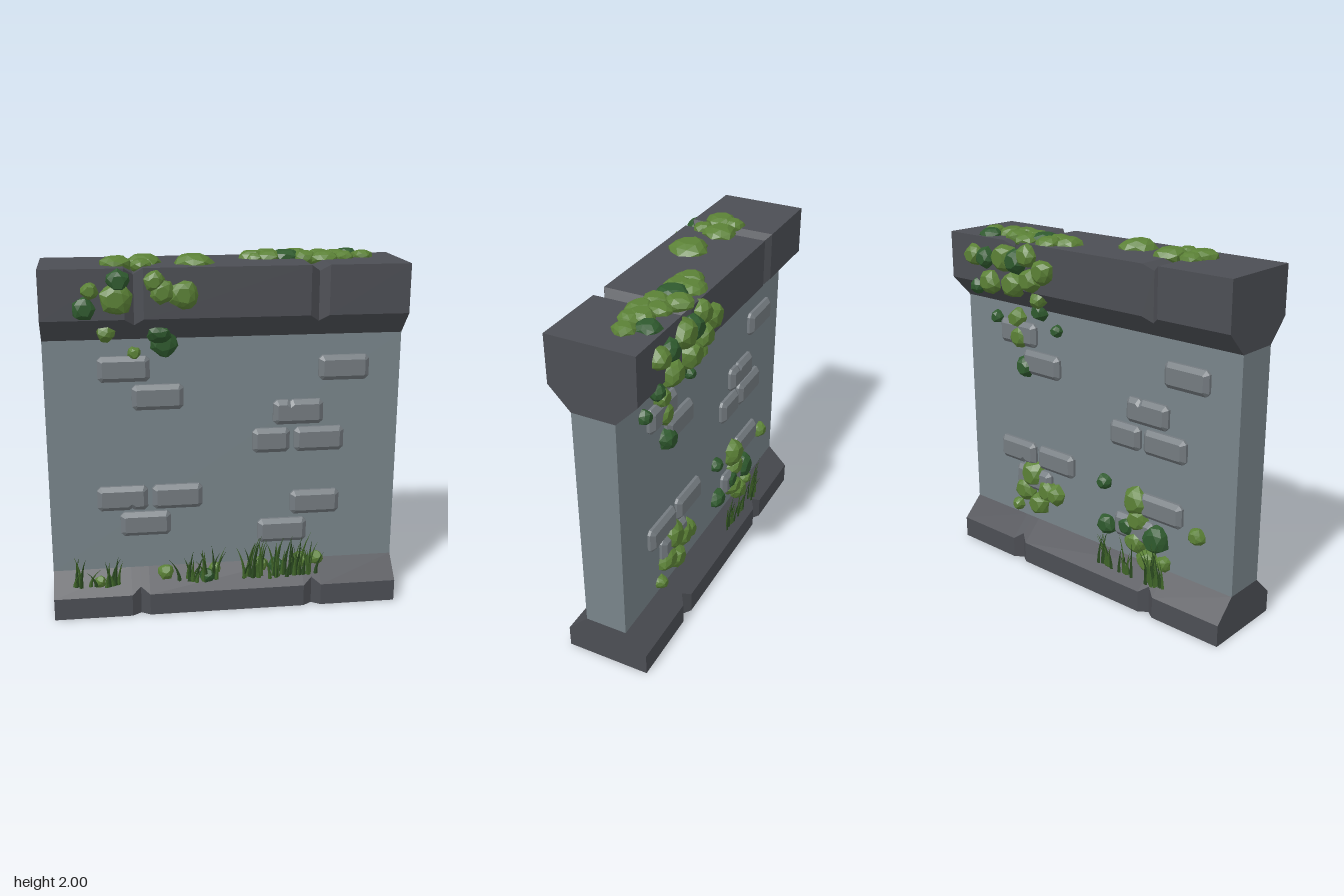
import * as THREE from 'three';
import { mergeGeometries } from 'three/addons/utils/BufferGeometryUtils.js';

const mat = (name, color, side = THREE.FrontSide) =>
  Object.assign(new THREE.MeshStandardMaterial({ color, side }), { name });

let seed = 7;
const rand = (a = 0, b = 1) => {
  seed = (seed * 16807) % 2147483647;
  return a + (b - a) * seed / 2147483647;
};

const flat = (geo) => {
  const g = geo.index ? geo.toNonIndexed() : geo;
  g.computeVertexNormals();
  return g;
};

const W = 0.975, GROOVE = 0.035;

// Sweep a [z, y] profile along x, using the inset profile at the two V grooves
function groovedBeam(full, inset, skip = -1) {
  const stations = [[-W, full]];
  for (const c of [-0.49, 0.49]) stations.push([c - 0.05, full], [c, inset], [c + 0.05, full]);
  stations.push([W, full]);
  const v = [];
  const put = (x, p) => v.push(x, p[1], p[0]);
  for (let s = 0; s < stations.length - 1; s++) {
    const [x0, p] = stations[s], [x1, q] = stations[s + 1];
    for (let i = 0; i < full.length - 1; i++) {
      if (i === skip) continue;
      put(x0, p[i]); put(x1, q[i]); put(x1, q[i + 1]);
      put(x0, p[i]); put(x1, q[i + 1]); put(x0, p[i + 1]);
    }
  }
  for (let i = 1; i < full.length - 1; i++) {
    put(-W, full[0]); put(-W, full[i]); put(-W, full[i + 1]);
    put(W, full[0]); put(W, full[i + 1]); put(W, full[i]);
  }
  const g = new THREE.BufferGeometry();
  g.setAttribute('position', new THREE.Float32BufferAttribute(v, 3));
  return flat(g);
}
const mirrored = (half) => [...half, ...half.map(([z, y]) => [-z, y]).reverse()];

// Brick with cut corners and a bevelled face; notch: 1 chips the top edge, -1 the bottom
function brickGeometry(w, notch) {
  const a = w / 2, b = 0.07, c = 0.02, n = 0.014;
  const pts = [[-a, -b + c], [-a + c, -b]];
  if (notch < 0) pts.push([0.05 - n, -b], [0.05, -b + 0.01], [0.05 + n, -b]);
  pts.push([a - c, -b], [a, -b + c], [a, b - c], [a - c, b]);
  if (notch > 0) pts.push([-0.045 + n, b], [-0.045, b - 0.01], [-0.045 - n, b]);
  pts.push([-a + c, b], [-a, b - c]);
  return new THREE.ExtrudeGeometry(new THREE.Shape(pts.map((p) => new THREE.Vector2(...p))), {
    depth: 0.016, bevelEnabled: true, bevelSize: 0.025, bevelThickness: 0.022,
    bevelOffset: -0.025, bevelSegments: 1,
  });
}

// Lumpy flattened clump, thin along z
function mossGeometry(r, t) {
  const g = new THREE.IcosahedronGeometry(1, 1), p = g.attributes.position, k = rand(0, 9);
  for (let i = 0; i < p.count; i++) {
    const x = p.getX(i), y = p.getY(i), z = p.getZ(i);
    const j = 1 + 0.13 * Math.sin(x * 4.1 + k) * Math.cos(y * 3.7 - k) + 0.05 * Math.sin(z * 5 + k);
    p.setXYZ(i, x * j * r, y * j * r, THREE.MathUtils.clamp(z * 1.25, -1, 1) * t);
  }
  return flat(g.rotateZ(rand(0, 6.28)));
}

// Tapered blade bending along +z
function bladeGeometry(h) {
  const g = new THREE.ConeGeometry(0.012, h, 4, 4, true).translate(0, h / 2, 0);
  const p = g.attributes.position, bend = rand(0.01, 0.05), lean = rand(-0.06, 0.06);
  for (let i = 0; i < p.count; i++) {
    const t = p.getY(i) / h;
    p.setX(i, p.getX(i) + lean * t * t);
    p.setZ(i, p.getZ(i) * 0.5 + bend * t * t);
  }
  return flat(g);
}

// Depth and normal slope of the wall face at height y
function face(y) {
  if (y > 1.69) return [0.24, 0];
  if (y > 1.565) return [0.12 + (y - 1.565) * 0.96, -1];
  if (y > 0.245) return [0.12, 0];
  if (y > 0.125) return [0.12 + (0.245 - y), 1];
  return [0.24, 0];
}

export function createModel() {
  const model = new THREE.Group();
  model.name = 'mossyWall';
  const body = new THREE.Group();
  body.name = 'wallAssembly';
  body.position.z = 0.01;
  model.add(body);

  const wallMat = mat('wallGrey', 0x78848a, THREE.DoubleSide);
  const trimMat = mat('darkStone', 0x4c4e54, THREE.DoubleSide);
  const brickMat = mat('brickGrey', 0x747b80);
  const mossMat = [mat('mossGreen', 0x5b8136), mat('deepMossGreen', 0x2f5a2e)];
  const grassMat = [mat('grassGreen', 0x3f6428, THREE.DoubleSide), mat('darkGrassGreen', 0x2b4a20, THREE.DoubleSide)];

  const add = (name, geo, material, parent = body) => {
    const m = new THREE.Mesh(geo, material);
    m.name = name;
    parent.add(m);
    return m;
  };

  // Wall panel, cap and open-bottomed base
  add('wallPanel', new THREE.BoxGeometry(2 * W, 1.32, 0.24).translate(0, 0.905, 0),
    wallMat).geometry = (() => {
    const g = new THREE.BoxGeometry(2 * W, 1.32, 0.24).translate(0, 0.905, 0);
    const idx = Array.from(g.index.array);
    g.setIndex([...idx.slice(0, 12), ...idx.slice(24)]); // sides only
    return g;
  })();
  const d = 0.24 - GROOVE;
  add('cap', groovedBeam(
    mirrored([[0.12, 1.565], [0.24, 1.69], [0.24, 1.955]]),
    mirrored([[0.12, 1.565], [d, 1.69 - GROOVE], [d, 1.955 - GROOVE]])), trimMat);
  add('base', groovedBeam(
    mirrored([[0.24, 0], [0.24, 0.125], [0.12, 0.245]]),
    mirrored([[d, 0], [d, 0.125 + GROOVE], [0.12, 0.245]]), 2), trimMat);

  // Raised bricks: x, y, width, notch; the back repeats the front turned round
  const bricks = new THREE.Group();
  bricks.name = 'frontBricks';
  for (const [x, y, w = 0.28, notch = 0] of [
    [-0.55, 1.405], [-0.37, 1.245], [0.655, 1.38], [0.405, 1.135, 0.28, 1], [0.255, 0.975, 0.21],
    [0.525, 0.975], [-0.575, 0.67, 0.28, -1], [-0.27, 0.67], [-0.45, 0.515], [0.51, 0.6], [0.325, 0.435],
  ]) add('brick', brickGeometry(w, notch), brickMat, bricks).position.set(x, y, 0.121);
  const backBricks = bricks.clone();
  backBricks.name = 'backBricks';
  backBricks.rotation.y = Math.PI;
  body.add(bricks, backBricks);

  // Moss on the two faces: x, y, radius, dark
  const faceMoss = (side, list) => {
    for (const [x, y, r, dark = 0] of list) {
      const [z, slope] = face(y);
      const t = side > 0 ? 0.042 : Math.min(0.065, 0.03 + r * 0.4);
      const m = add('faceMoss', mossGeometry(r, t), mossMat[dark]);
      m.position.set(x, y, side * z);
      m.lookAt(new THREE.Vector3(x, y + slope, side * (z + 1)));
      m.position.set(x, y, side * z);
    }
  };
  faceMoss(1, [
    [-0.745, 1.75, 0.06, 1], [-0.715, 1.845, 0.045], [-0.585, 1.8, 0.085], [-0.57, 1.89, 0.06, 1],
    [-0.385, 1.885, 0.055], [-0.345, 1.83, 0.065], [-0.235, 1.815, 0.075], [-0.64, 1.61, 0.05],
    [-0.355, 1.595, 0.065, 1], [-0.335, 1.54, 0.075, 1], [-0.49, 1.49, 0.035],
    [-0.345, 0.215, 0.045], [-0.11, 0.19, 0.042, 1], [-0.065, 0.22, 0.035], [-0.715, 0.19, 0.033],
    [0.2, 0.23, 0.045], [0.29, 0.22, 0.045, 1], [0.43, 0.24, 0.05], [0.53, 0.243, 0.042],
  ]);
  faceMoss(-1, [
    [0.775, 1.845, 0.06], [0.68, 1.84, 0.06, 1], [0.65, 1.71, 0.07], [0.775, 1.67, 0.045, 1],
    [0.535, 1.86, 0.08], [0.44, 1.85, 0.07, 1], [0.465, 1.72, 0.075], [0.35, 1.89, 0.065],
    [0.235, 1.82, 0.07], [0.335, 1.76, 0.07], [0.31, 1.655, 0.05], [0.56, 1.49, 0.06],
    [0.54, 1.385, 0.065], [0.5, 1.21, 0.065, 1], [0.38, 1.555, 0.055, 1], [0.25, 1.465, 0.035, 1],
    [0.725, 1.47, 0.04, 1], [0.46, 0.545, 0.085], [0.525, 0.43, 0.075], [0.34, 0.465, 0.07],
    [0.42, 0.36, 0.07], [0.28, 0.455, 0.065], [0.595, 0.305, 0.04], [-0.1, 0.655, 0.045, 1],
    [-0.335, 0.605, 0.085], [-0.35, 0.5, 0.07], [-0.28, 0.44, 0.06, 1], [-0.475, 0.415, 0.085, 1],
    [-0.335, 0.36, 0.07], [-0.42, 0.27, 0.07], [-0.53, 0.285, 0.045], [-0.745, 0.525, 0.05],
    [-0.12, 0.4, 0.06, 1],
  ]);

  // Moss on top of the cap: x, z, radius, dark
  for (const [x, z, r, dark = 0] of [
    [-0.56, 0.01, 0.06], [-0.575, 0.09, 0.085], [-0.425, 0.03, 0.09], [-0.445, 0.14, 0.055],
    [-0.165, 0.085, 0.105], [0.175, -0.09, 0.075], [0.265, -0.145, 0.075], [0.265, -0.07, 0.075],
    [0.36, -0.085, 0.085, 1], [0.425, -0.155, 0.075], [0.565, -0.025, 0.075], [0.55, -0.11, 0.07],
    [0.635, -0.07, 0.075], [0.72, -0.15, 0.065, 1], [0.67, -0.03, 0.065], [0.785, -0.06, 0.06],
    [0.46, -0.05, 0.07], [0.185, -0.05, 0.045],
  ]) {
    const m = add('topMoss', mossGeometry(r, 0.02 + r * 0.26), mossMat[dark]);
    m.position.set(x, 1.953, z - 0.01);
    m.rotation.x = -Math.PI / 2;
  }

  // Grass tufts rooted in the sloped base: side, x range, blades, tallest blade
  for (const [side, x0, x1, n, tall] of [
    [1, -0.86, -0.77, 7, 0.2], [1, -0.74, -0.6, 8, 0.19], [1, -0.27, -0.17, 8, 0.21], [1, -0.14, -0.04, 9, 0.23],
    [1, 0.09, 0.24, 15, 0.28], [1, 0.24, 0.38, 14, 0.27], [1, 0.38, 0.53, 16, 0.28],
    [-1, -0.36, -0.27, 8, 0.26], [-1, -0.22, -0.12, 12, 0.26], [-1, -0.6, -0.46, 16, 0.28],
  ]) {
    const blades = [[], []];
    for (let i = 0; i < n; i++) {
      const g = bladeGeometry(tall * rand(0.45, 1));
      g.rotateY(side > 0 ? 0 : Math.PI);
      g.translate(rand(x0, x1), 0.165 + rand(0, 0.02), side * rand(0.185, 0.212));
      blades[i % 2].push(g);
    }
    blades.forEach((list, i) => add('grassTuft', mergeGeometries(list), grassMat[i]));
  }
  return model;
}
